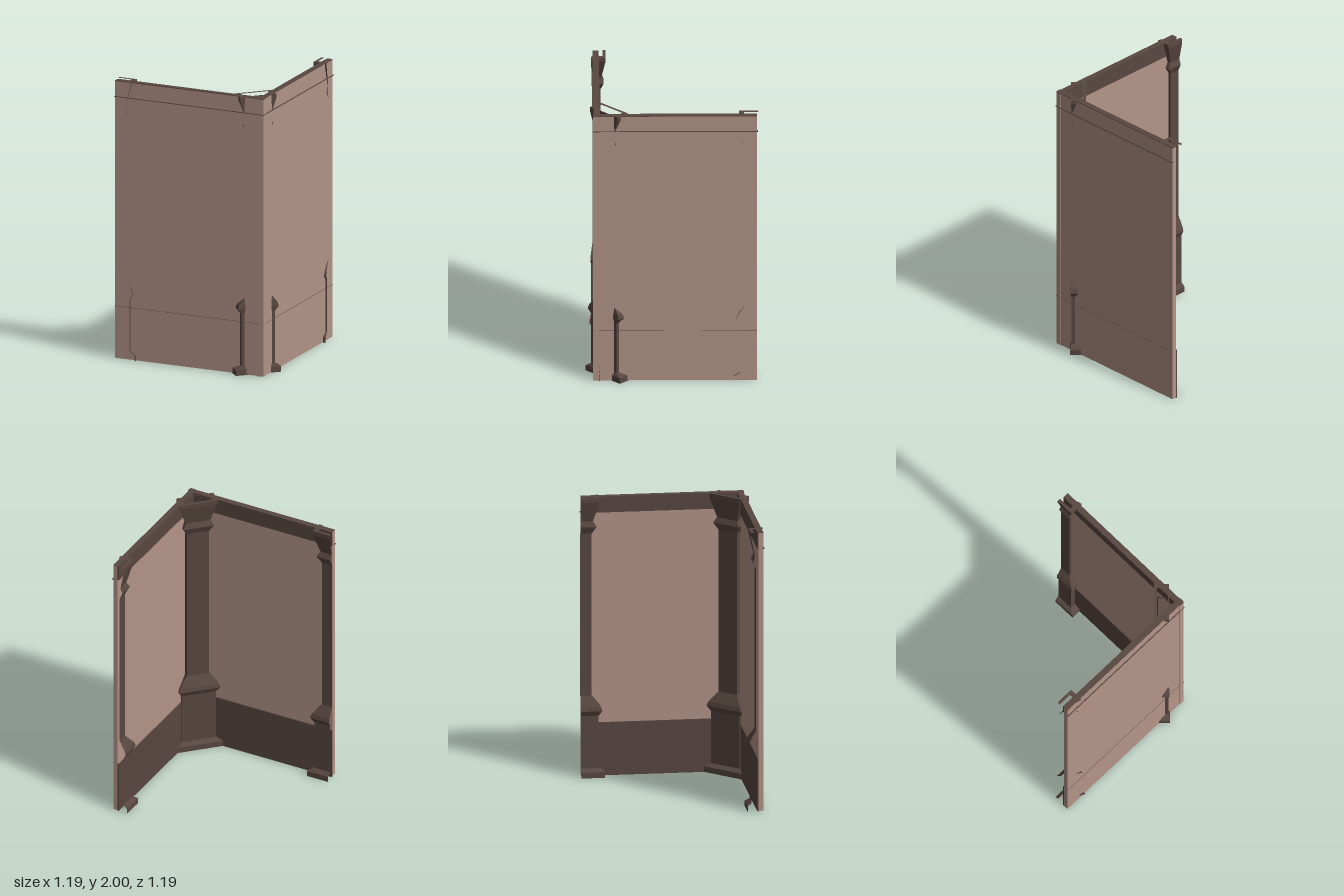
import * as THREE from 'three';

const plaster = new THREE.MeshStandardMaterial({ color: 0xb39487, flatShading: true });
plaster.name = 'plaster';
const wood = new THREE.MeshStandardMaterial({ color: 0x584741, flatShading: true });
wood.name = 'darkWood';

// Column profile: [height, half width], shared by the corner column and both end pilasters
const PROFILE = [
  [0, 0.166], [0.04, 0.166], [0.065, 0.124], [0.44, 0.124], [0.475, 0.15],
  [0.505, 0.14], [0.58, 0.08], [1.74, 0.08], [1.79, 0.111], [1.83, 0.088],
  [1.97, 0.133], [2, 0.133], [2, 0.1],
];
const depth = (w) => 0.075 + (w - 0.08) * 0.65;

// Joins the cross-sections given by ring(w) into a flat-sided shell
function shell(name, ring, closed) {
  const pos = [];
  const rows = PROFILE.map(([y, w]) => ring(w).map(([x, z]) => [x, y, z]));
  for (let r = 0; r + 1 < rows.length; r++) {
    const lo = rows[r], hi = rows[r + 1], n = lo.length;
    for (let i = 0; i < (closed ? n : n - 1); i++) {
      const j = (i + 1) % n;
      for (const p of [lo[i], lo[j], hi[j], lo[i], hi[j], hi[i]]) pos.push(...p);
    }
  }
  const geo = new THREE.BufferGeometry();
  geo.setAttribute('position', new THREE.Float32BufferAttribute(pos, 3));
  geo.computeVertexNormals();
  const mesh = new THREE.Mesh(geo, wood);
  mesh.name = name;
  return mesh;
}

// Diagonal column standing in the corner, its ends pushing through both walls
function cornerColumn() {
  const s = Math.SQRT1_2;
  return shell('cornerColumn', (w) => {
    const back = 0.66 + Math.max(0, w - 0.111) * 0.25;
    const front = 0.67 - depth(w);
    return [[-w, back], [w, back], [w, front], [-w, front]]
      .map(([u, v]) => [(u + v) * s, (v - u) * s]);
  }, true);
}

// Half column wrapped round the free end of a wall
function endPilaster(name, swap) {
  return shell(name, (w) => {
    const out = 0.541 + (w - 0.08) * 0.22;
    const inn = 0.56 - depth(w);
    const pts = [[-0.6 + w, out], [-0.6 + w, inn], [-0.6, inn]];
    return swap ? pts.map(([x, z]) => [z, x]).reverse() : pts;
  }, false);
}

// One wall along x; swap turns it into the matching wall along z
function wall(name, swap) {
  const g = new THREE.Group();
  g.name = name;
  const slab = (part, mat, a0, a1, y0, y1, d0, d1) => {
    const a = a1 - a0, h = y1 - y0, d = d1 - d0;
    const m = new THREE.Mesh(new THREE.BoxGeometry(swap ? d : a, h, swap ? a : d), mat);
    const ac = (a0 + a1) / 2, dc = (d0 + d1) / 2;
    m.position.set(swap ? dc : ac, (y0 + y1) / 2, swap ? ac : dc);
    m.name = part;
    g.add(m);
  };
  slab('panel', plaster, -0.592, 0.545, 0.004, 1.996, 0.505, 0.54);
  slab('wainscot', wood, -0.592, 0.54, 0, 0.38, 0.497, 0.506);
  slab('topBand', wood, -0.592, 0.54, 1.885, 2, 0.497, 0.506);
  slab('topCap', wood, -0.592, 0.545, 1.995, 2, 0.505, 0.54);
  slab('upperSeam', wood, -0.598, 0.548, 1.883, 1.887, 0.53, 0.547);
  slab('lowerSeam', wood, -0.592, 0.545, 0.378, 0.38, 0.53, 0.542);
  return g;
}

export function createModel() {
  const model = new THREE.Group();
  model.name = 'wallCorner';
  model.add(
    wall('frontWall', false),
    wall('sideWall', true),
    cornerColumn(),
    endPilaster('frontWallPilaster', false),
    endPilaster('sideWallPilaster', true),
  );
  return model;
}
